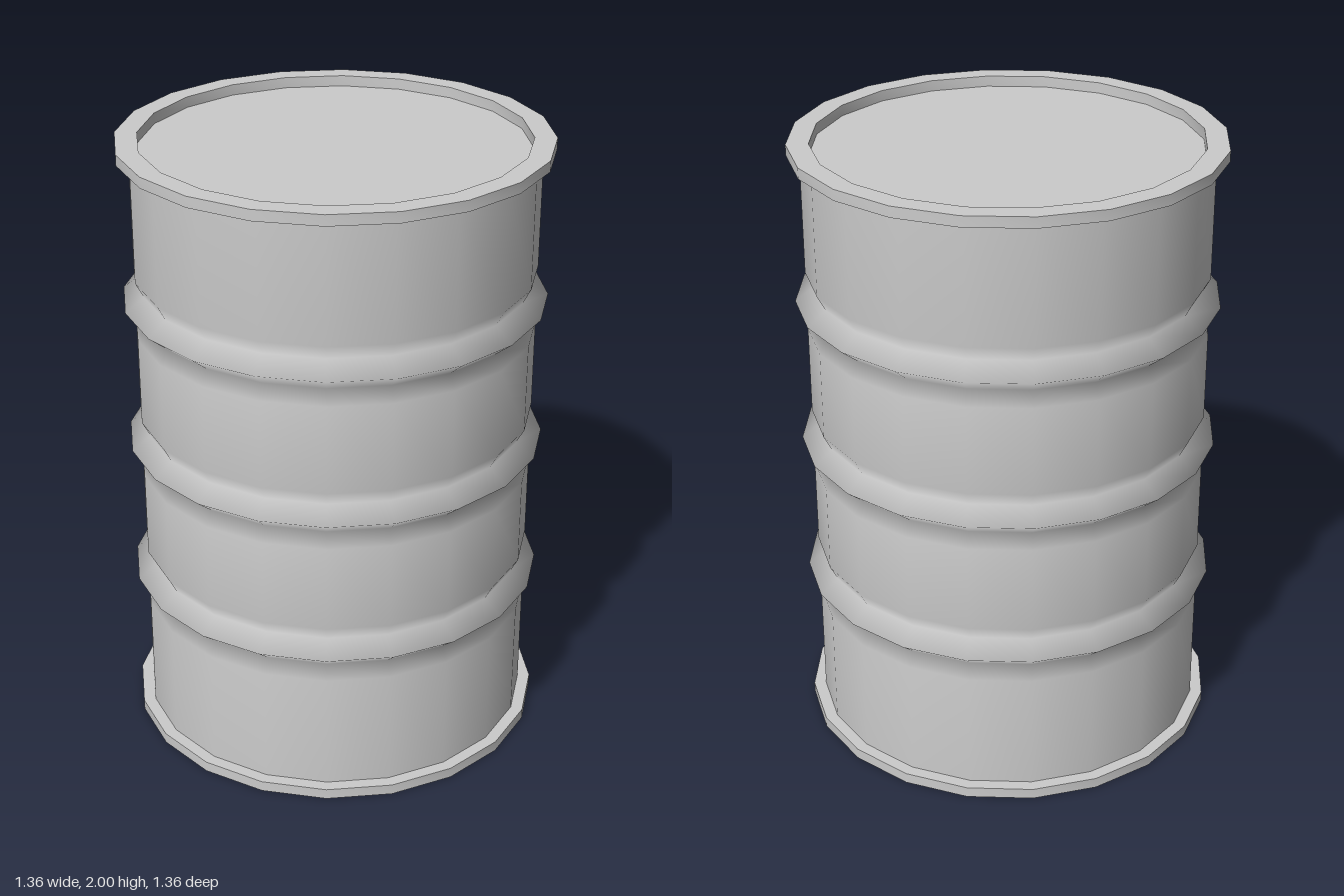
import * as THREE from 'three';
import { toCreasedNormals } from 'three/addons/utils/BufferGeometryUtils.js';

const SIDES = 20;
const HEIGHT = 2;
const RIM = 0.035;     // rim height and depth of the recessed lids
const WALL = 0.64;     // wall radius
const INNER = 0.61;    // lid radius

export function createModel() {
  const drum = new THREE.Group();
  drum.name = 'drum';
  const material = new THREE.MeshStandardMaterial({ color: 0xcccccc });

  const add = (name, geometry, y = 0) => {
    const mesh = new THREE.Mesh(geometry, material);
    mesh.name = name;
    mesh.position.y = y;
    drum.add(mesh);
    return mesh;
  };
  const lathe = (points) =>
    new THREE.LatheGeometry(points.map(([r, y]) => new THREE.Vector2(r, y)), SIDES);

  // Wall with three pinched ribs, shaded smoothly
  const profile = [[WALL, RIM]];
  for (const y of [0.523, 1.002, 1.484]) {
    profile.push([WALL, y - 0.096], [0.615, y - 0.048], [0.675, y], [0.615, y + 0.048], [WALL, y + 0.096]);
  }
  profile.push([WALL, HEIGHT - RIM]);
  add('wall', lathe(profile));

  // Square-section rims at both ends
  const rim = toCreasedNormals(
    lathe([[INNER, 0], [0.68, 0], [0.68, RIM], [INNER, RIM], [INNER, 0]]), 0.6);
  add('bottomRim', rim);
  add('topRim', rim, HEIGHT - RIM);

  // Recessed lids
  const disc = new THREE.CircleGeometry(INNER, SIDES);
  add('topLid', disc, HEIGHT - RIM).rotation.x = -Math.PI / 2;
  add('bottomLid', disc, RIM).rotation.x = Math.PI / 2;

  return drum;
}
